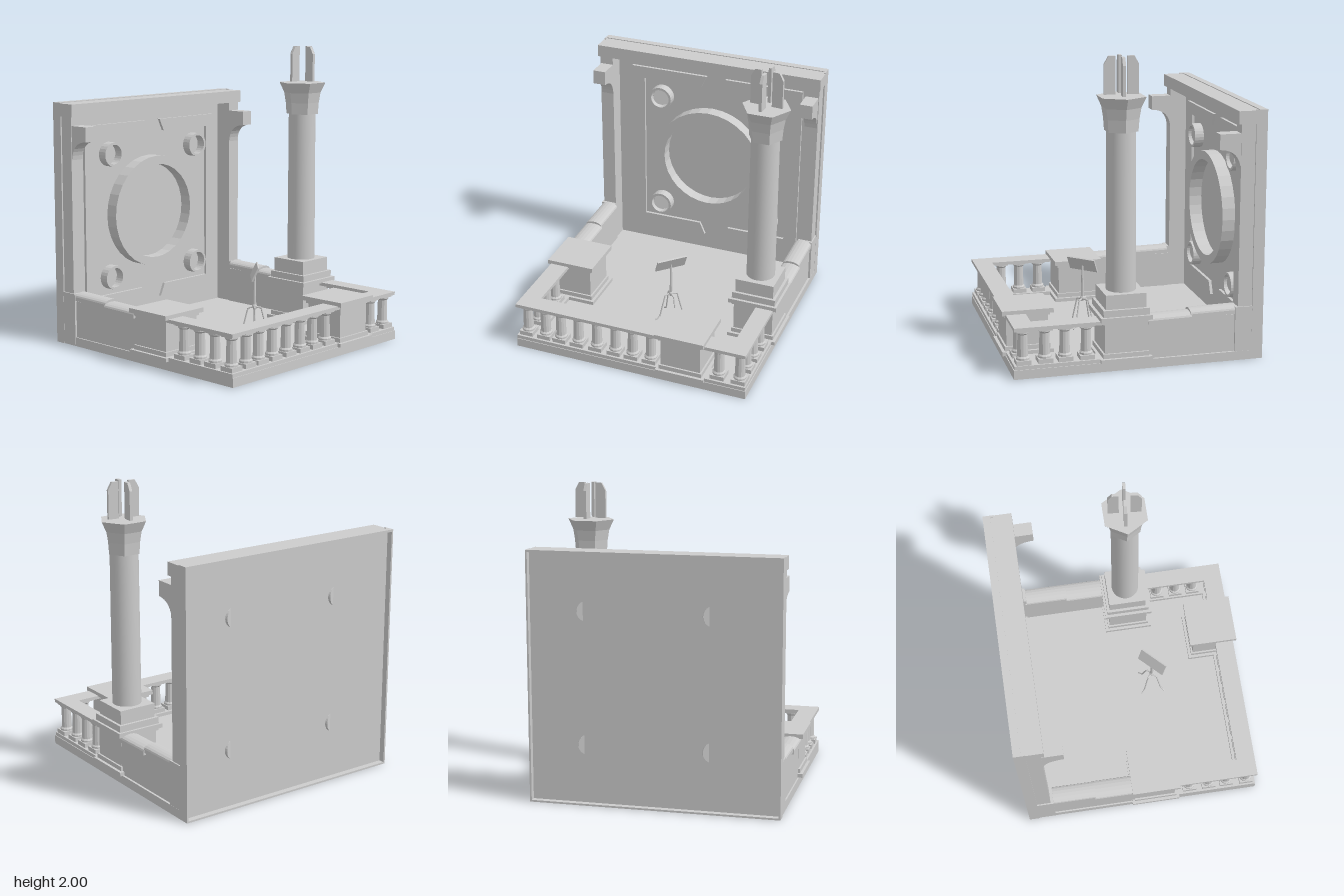
import * as THREE from 'three';

const mat = new THREE.MeshStandardMaterial({ color: 0xcccccc, flatShading: true });
const smooth = new THREE.MeshStandardMaterial({ color: 0xcccccc });

function add(parent, name, geo, x = 0, y = 0, z = 0, m = mat) {
  const mesh = new THREE.Mesh(geo, m);
  mesh.name = name;
  mesh.position.set(x, y, z);
  parent.add(mesh);
  return mesh;
}

// Box given by its limits on each axis
function box(parent, name, x0, x1, y0, y1, z0, z1) {
  return add(parent, name, new THREE.BoxGeometry(x1 - x0, y1 - y0, z1 - z0),
    (x0 + x1) / 2, (y0 + y1) / 2, (z0 + z1) / 2);
}

// Square block centred on x, z
function block(parent, name, x, z, half, y0, y1) {
  return box(parent, name, x - half, x + half, y0, y1, z - half, z + half);
}

function extrude(points, depth) {
  const shape = new THREE.Shape(points.map(p => new THREE.Vector2(...p)));
  return new THREE.ExtrudeGeometry(shape, { depth, bevelEnabled: false });
}

// Ring standing on the wall, facing +x
function wallRing(parent, name, y, z, outer, inner, x0, x1, segments) {
  const shape = new THREE.Shape().absarc(0, 0, outer, 0, Math.PI * 2);
  shape.holes.push(new THREE.Path().absarc(0, 0, inner, 0, Math.PI * 2, true));
  const geo = new THREE.ExtrudeGeometry(shape, { depth: x1 - x0, bevelEnabled: false, curveSegments: segments });
  add(parent, name, geo, x0, y, z).rotation.y = Math.PI / 2;
}

function pedestal(x, z) {
  const g = new THREE.Group();
  g.name = 'pedestal';
  [[0.17, 0.06, 0.085], [0.15, 0.085, 0.115], [0.138, 0.115, 0.31], [0.15, 0.31, 0.33], [0.17, 0.33, 0.36]]
    .forEach(([half, y0, y1]) => block(g, 'pedestalTier', x, z, half, y0, y1));
  return g;
}

function baluster(x, z) {
  const g = new THREE.Group();
  g.name = 'baluster';
  block(g, 'balusterFoot', x, z, 0.048, 0.085, 0.115);
  const profile = [[0.044, 0.115], [0.044, 0.127], [0.035, 0.137], [0.032, 0.28], [0.042, 0.29], [0.042, 0.3]];
  add(g, 'balusterShaft', new THREE.LatheGeometry(profile.map(p => new THREE.Vector2(...p)), 12), x, 0, z);
  block(g, 'balusterHead', x, z, 0.045, 0.3, 0.312);
  return g;
}

function rod(parent, name, a, b, r0, r1 = r0) {
  const geo = new THREE.CylinderGeometry(r1, r0, a.distanceTo(b), 8);
  const m = add(parent, name, geo);
  m.position.copy(a).add(b).multiplyScalar(0.5);
  m.quaternion.setFromUnitVectors(new THREE.Vector3(0, 1, 0), b.clone().sub(a).normalize());
}

function buildWall() {
  const g = new THREE.Group();
  g.name = 'backWall';
  // Panel sunk behind thin edges at the back
  box(g, 'wallPanel', -0.8, -0.79, 0, 1.65, -0.82, 0.82);
  box(g, 'topEdge', -0.84, -0.79, 1.635, 1.65, -0.825, 0.825);
  box(g, 'bottomEdge', -0.84, -0.79, 0, 0.012, -0.825, 0.825);
  box(g, 'cornice', -0.79, -0.65, 1.56, 1.645, -0.825, 0.825);
  wallRing(g, 'largeRing', 0.83, 0, 0.395, 0.335, -0.795, -0.7, 16);
  for (const y of [0.395, 1.265]) {
    for (const z of [0.38, -0.44]) {
      wallRing(g, 'smallRing', y, z, 0.085, 0.068, -0.795, -0.725, 12);
      // Turned disc that breaks through the panel on one side
      add(g, 'smallDisc', new THREE.CylinderGeometry(0.068, 0.068, 0.02, 24), -0.78, y, z).rotation.set(0, 0.4, Math.PI / 2);
    }
  }
  // C-shaped raised bands around the panel
  for (const s of [1, -1]) {
    const pts = [[0.07, 1.475], [0.64, 1.475], [0.64, 0.18], [0.07, 0.18], [0.11, 0.27], [0.545, 0.27], [0.545, 1.39], [0.11, 1.39]]
      .map(([z, y]) => [-(s * z - 0.03), y]);
    add(g, 'panelBand', extrude(pts, 0.025), -0.795, 0, 0).rotation.y = Math.PI / 2;
  }
  // End pilasters with a curved bracket
  for (const s of [1, -1]) {
    const side = (name, x0, x1, y0, y1, a, b) =>
      box(g, name, x0, x1, y0, y1, Math.min(s * a, s * b), Math.max(s * a, s * b));
    side('endStrip', -0.84, -0.765, 0, 1.65, 0.813, 0.825);
    side('pilasterBase', -0.795, -0.65, 0.012, 0.36, 0.72, 0.824);
    side('pilaster', -0.795, -0.67, 0.36, 1.56, 0.72, 0.815);
    const b = new THREE.Shape();
    b.moveTo(-0.68, 1.5);
    b.lineTo(-0.68, 1.27);
    b.lineTo(-0.67, 1.27);
    b.quadraticCurveTo(-0.66, 1.395, -0.53, 1.4);
    b.lineTo(-0.53, 1.5);
    add(g, 'bracket', new THREE.ExtrudeGeometry(b, { depth: 0.09, bevelEnabled: false, curveSegments: 8 }), 0, 0, s * 0.765 - 0.045);
  }
  return g;
}

// Low side wall with two rounded, slightly sloping copings
function buildLowWall(s) {
  const g = new THREE.Group();
  g.name = 'lowWall';
  const zc = s * 0.76;
  box(g, 'lowWallBody', -0.66, -0.04, 0.05, 0.31, zc - 0.05, zc + 0.05);
  [[-0.65, 0.30, 0.325, 0.06], [-0.355, 0.29, 0.305, 0.067]].forEach(([x, len, y, r]) => {
    const arc = [];
    for (let i = 0; i <= 8; i++) {
      const a = Math.PI * i / 8;
      arc.push([r * Math.cos(a), 0.015 + 0.028 * Math.sin(a)]);
    }
    const m = add(g, 'coping', extrude([[-r, -0.01], [r, -0.01], ...arc], len), x, y, zc);
    m.rotation.set(0, Math.PI / 2, -0.015, 'ZYX');
  });
  return g;
}

function buildColumn(x, z) {
  const g = new THREE.Group();
  g.name = 'column';
  g.position.set(x, 0, z);
  block(g, 'columnPlinth', 0, 0, 0.152, 0.36, 0.405);
  block(g, 'columnFoot', 0, 0, 0.133, 0.405, 0.5);
  add(g, 'columnShaft', new THREE.CylinderGeometry(0.094, 0.097, 1.05, 24), 0, 1.02, 0, smooth);
  const cap = [[0, 1.53], [0.112, 1.53], [0.118, 1.61], [0.13, 1.68], [0.163, 1.75], [0, 1.75]];
  add(g, 'capital', new THREE.LatheGeometry(cap.map(p => new THREE.Vector2(...p)), 6));
  // Four upright fins with an outer chamfer
  const fin = extrude([[0.038, 1.76], [0.11, 1.76], [0.11, 1.95], [0.082, 2.0], [0.038, 2.0]], 0.02);
  fin.translate(0, 0, -0.01);
  for (let i = 0; i < 4; i++) add(g, 'fin', fin).rotation.y = i * Math.PI / 2 - 0.08;
  return g;
}

// Slanted board on a four-legged stand
function buildStand(x, z) {
  const g = new THREE.Group();
  g.name = 'readingStand';
  g.position.set(x, 0, z);
  const v = (a, y, r) => new THREE.Vector3(r * Math.cos(a), y, r * Math.sin(a));
  rod(g, 'post', v(0, 0.24, 0), v(0, 0.49, 0), 0.012, 0.007);
  add(g, 'hub', new THREE.SphereGeometry(0.018, 10, 8), 0, 0.26, 0, smooth);
  for (let i = 0; i < 4; i++) {
    const a = Math.PI / 4 + i * Math.PI / 2;
    rod(g, 'upperLeg', v(a, 0.26, 0), v(a, 0.25, 0.045), 0.006);
    rod(g, 'lowerLeg', v(a, 0.25, 0.045), v(a, 0.09, 0.085), 0.005);
    rod(g, 'foot', v(a, 0.09, 0.085), v(a, 0.066, 0.12), 0.005);
  }
  const along = new THREE.Vector3(1, 0, 1).normalize();
  const up = new THREE.Vector3(0.03, 0.09, -0.03).normalize();
  const board = add(g, 'board', new THREE.BoxGeometry(0.215, 0.1, 0.012), 0, 0.5, 0);
  board.quaternion.setFromRotationMatrix(new THREE.Matrix4().makeBasis(along, up, along.clone().cross(up)));
  return g;
}

export function createModel() {
  const root = new THREE.Group();
  root.name = 'terrace';
  box(root, 'floor', -0.795, 0.81, 0, 0.06, -0.825, 0.82);
  root.add(buildWall(), buildLowWall(1), buildLowWall(-1));
  root.add(pedestal(0.08, 0.673), pedestal(0.08, -0.673), pedestal(0.66, -0.37));
  root.add(buildColumn(0.078, -0.675), buildStand(0.185, -0.065));

  // Balustrade: plinth and rail on three sides, balusters between
  for (const [y0, y1] of [[0.06, 0.085], [0.312, 0.335]]) {
    const name = y0 < 0.1 ? 'balustradePlinth' : 'handrail';
    box(root, name, 0.675, 0.805, y0, y1, -0.82, 0.82);
    box(root, name, 0.2, 0.675, y0, y1, 0.69, 0.82);
    box(root, name, 0.2, 0.675, y0, y1, -0.82, -0.7);
  }
  for (const x of [0.33, 0.47, 0.6]) root.add(baluster(x, 0.757), baluster(x, -0.76));
  for (const z of [0.76, 0.63, 0.515, 0.385, 0.25, 0.115, -0.01, -0.14, -0.62, -0.765]) root.add(baluster(0.742, z));
  return root;
}
